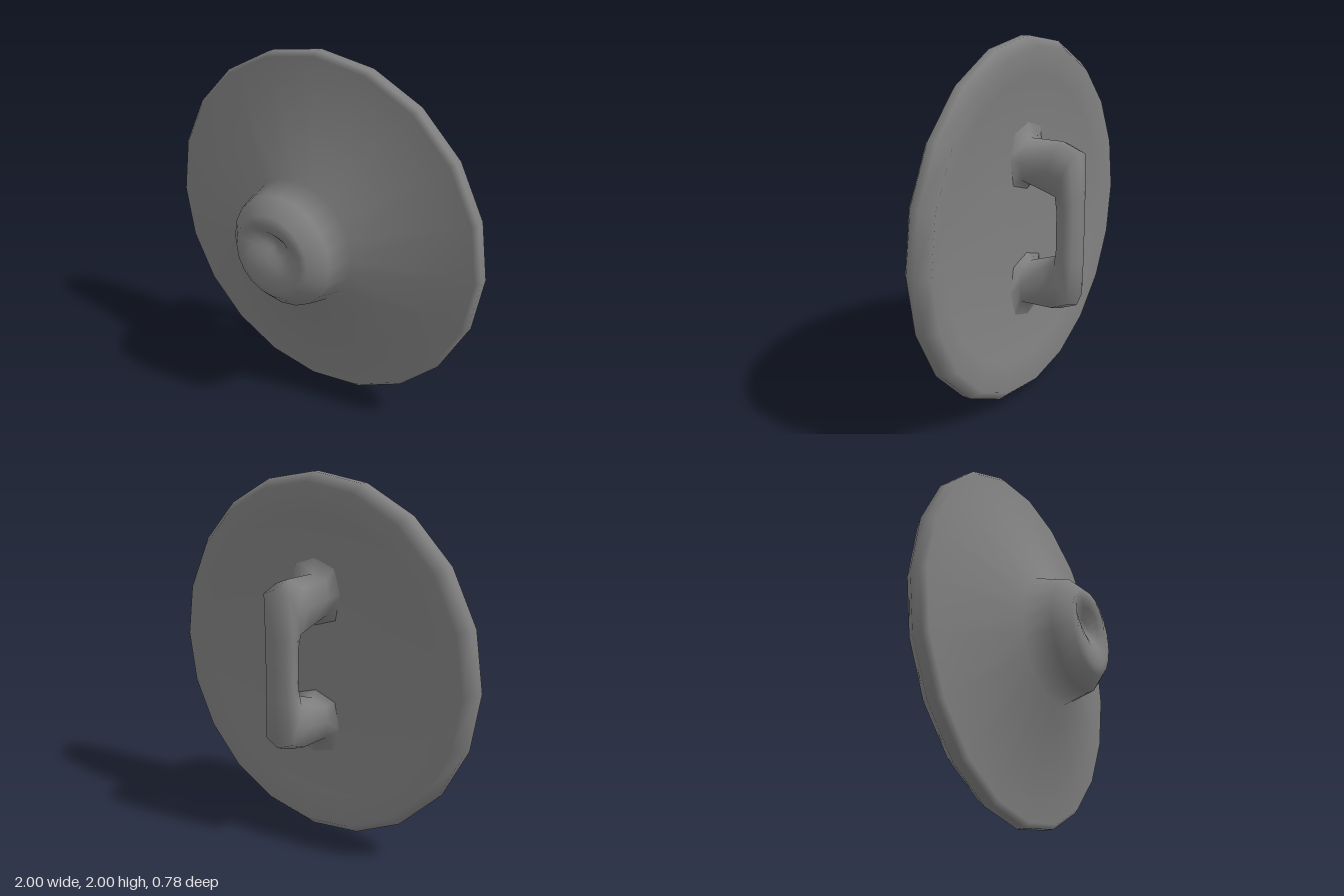
import * as THREE from 'three';
import { mergeVertices } from 'three/addons/utils/BufferGeometryUtils.js';

const material = new THREE.MeshStandardMaterial({ color: 0x808080 });

function addMesh(group, name, geometry) {
  const mesh = new THREE.Mesh(geometry, material);
  mesh.name = name;
  group.add(mesh);
}

// Disc with shallow hollow back, rounded rim and central boss, turned about z
function shieldGeometry() {
  const profile = [
    // hollow back
    [0, -0.06], [0.4, -0.06], [0.8, -0.085],
    // rim
    [0.95, -0.13], [1, -0.075], [1, -0.025], [0.975, 0], [0.86, 0],
    // cone and boss
    [0.355, 0.15], [0.315, 0.295], [0.235, 0.375], [0.19, 0.39], [0.14, 0.39], [0.09, 0.39], [0.045, 0.39], [0, 0.39],
  ].map(([r, z]) => new THREE.Vector2(r, z));
  let geometry = new THREE.LatheGeometry(profile, 20).rotateX(Math.PI / 2);
  geometry.deleteAttribute('uv');
  geometry.deleteAttribute('normal');
  geometry = mergeVertices(geometry, 1e-4);

  // Press a slanting gash into the face of the boss, steep above and gentle below
  const p = geometry.attributes.position;
  for (let i = 0; i < p.count; i++) {
    if (p.getZ(i) < 0.38) continue;
    const dx = p.getX(i) / 0.15;
    const offset = p.getY(i) - 0.07 + 0.2 * p.getX(i);
    const dy = offset / (offset > 0 ? 0.06 : 0.11);
    p.setZ(i, p.getZ(i) - 0.08 * Math.exp(-dx * dx - dy * dy));
  }
  geometry.computeVertexNormals();
  return geometry;
}

// Grip: cross-sections swept from the upper foot, down the bar, to the lower foot
function handleGeometry() {
  // outer y, outer z, inner y, inner z, half width
  const upper = [
    [0.6, -0.06, 0.17, -0.05, 0.18],
    [0.47, -0.085, 0.225, -0.085, 0.11],
    [0.47, -0.28, 0.185, -0.2, 0.11],
    [0.43, -0.38, 0.16, -0.27, 0.105],
    [0.18, -0.395, 0.1, -0.27, 0.085],
  ];
  const lower = upper.map(([oy, oz, iy, iz, w]) => [-oy, oz, -iy, iz, w]).reverse();
  const stations = [...upper, ...lower];
  // side position, fraction from outer to inner edge
  const ring = [[0, 0], [0.85, 0.12], [1, 0.5], [0.85, 0.88], [0, 1], [-0.85, 0.88], [-1, 0.5], [-0.85, 0.12]];
  const n = ring.length;
  const positions = [];
  const index = [];
  stations.forEach(([oy, oz, iy, iz, w], s) => {
    ring.forEach(([x, t], j) => {
      positions.push(x * w, oy + (iy - oy) * t, oz + (iz - oz) * t);
      if (s === stations.length - 1) return;
      const a = s * n + j;
      const b = s * n + (j + 1) % n;
      index.push(a, b, a + n, b, b + n, a + n);
    });
  });
  const geometry = new THREE.BufferGeometry();
  geometry.setAttribute('position', new THREE.Float32BufferAttribute(positions, 3));
  geometry.setIndex(index);
  geometry.computeVertexNormals();
  return geometry;
}

export function createModel() {
  const group = new THREE.Group();
  group.name = 'roundShield';
  addMesh(group, 'shieldDisc', shieldGeometry());
  addMesh(group, 'handle', handleGeometry());
  group.children.forEach((mesh) => { mesh.position.y = 1; });
  return group;
}
